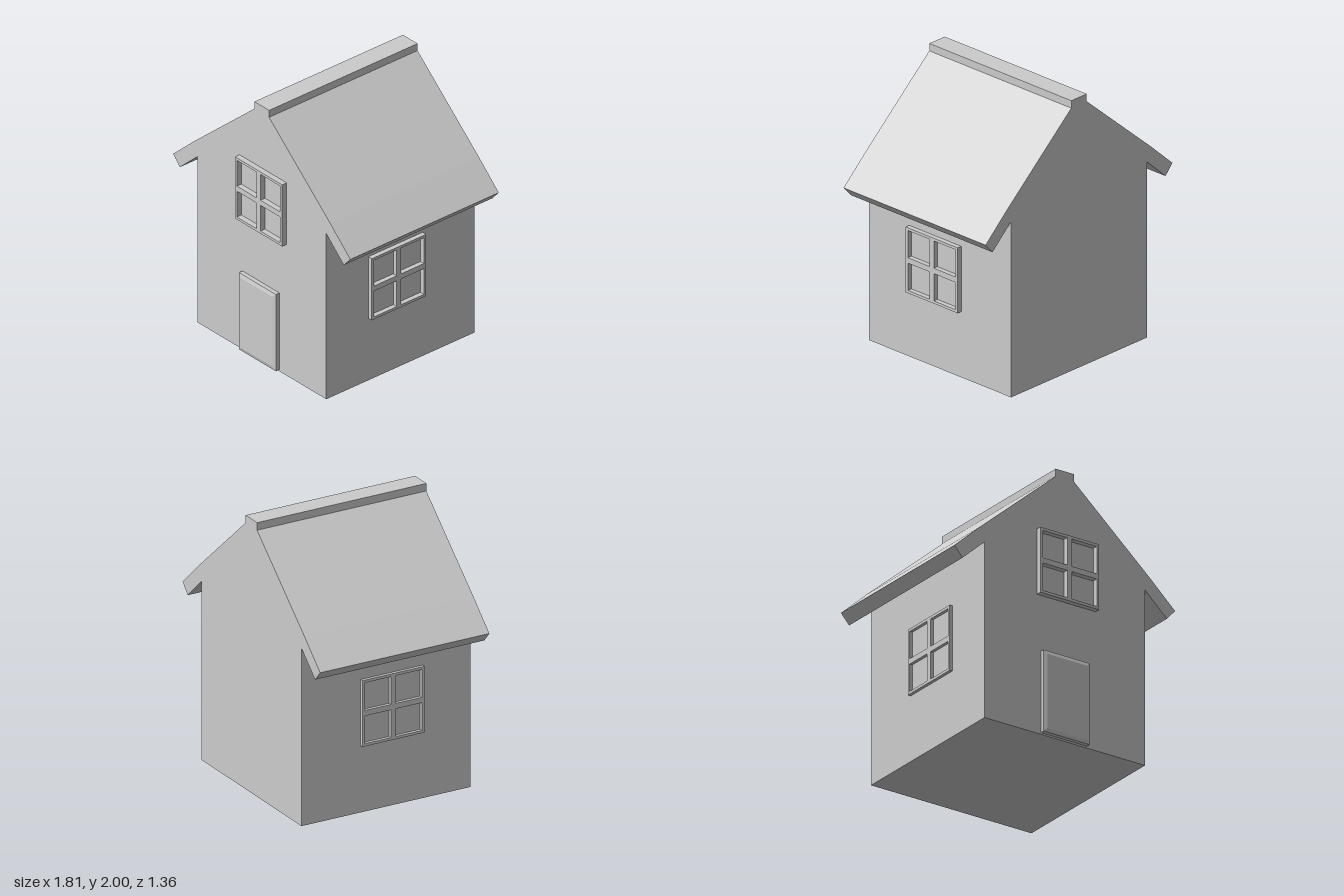
import * as THREE from 'three';

const FRONT = 0.64, BACK = -0.68, WALL = 0.66;

function rectPoints(x0, x1, y0, y1) {
  return [[x0, y0], [x1, y0], [x1, y1], [x0, y1]].map(([x, y]) => new THREE.Vector2(x, y));
}

export function createModel() {
  const house = new THREE.Group();
  house.name = 'house';
  const material = new THREE.MeshStandardMaterial({ color: 0xcccccc, flatShading: true });

  const add = (geometry, name) => {
    const mesh = new THREE.Mesh(geometry, material);
    mesh.name = name;
    house.add(mesh);
    return mesh;
  };
  const extrude = (shape, depth) => new THREE.ExtrudeGeometry(shape, { depth, bevelEnabled: false });

  // Walls, sloping roof with eaves and ridge cap share one gable outline
  const half = [[WALL, 0], [WALL, 1.3], [0.84, 1.135], [0.907, 1.21], [0.7, 1.4], [0.075, 1.945], [0.075, 2]];
  const mirrored = half.map(([x, y]) => [-x, y]).reverse();
  const outline = [...half, ...mirrored].map(([x, y]) => new THREE.Vector2(x, y));
  add(extrude(new THREE.Shape(outline), FRONT - BACK), 'houseBody').position.z = BACK;

  // Four-pane window frame, centred on its own origin, back at z = 0
  const makeWindow = (name, depth) => {
    const outer = 0.242, edge = 0.222, bar = 0.02;
    const shape = new THREE.Shape(rectPoints(-outer, outer, -outer, outer));
    for (const [x0, x1] of [[-edge, -bar], [bar, edge]]) {
      for (const [y0, y1] of [[-edge, -bar], [bar, edge]]) {
        shape.holes.push(new THREE.Path(rectPoints(x0, x1, y0, y1)));
      }
    }
    return add(extrude(shape, depth), name);
  };
  makeWindow('frontWindow', 0.04).position.set(0.013, 1.271, FRONT);
  const leftWindow = makeWindow('leftWindow', 0.035);
  leftWindow.position.set(WALL, 0.728, 0.024);
  leftWindow.rotation.y = Math.PI / 2;
  const rightWindow = makeWindow('rightWindow', 0.023);
  rightWindow.position.set(-WALL, 0.728, 0.024);
  rightWindow.rotation.y = -Math.PI / 2;

  // Door slab with a shallow bevel around its raised panel
  const bevel = 0.027;
  const panel = new THREE.Shape(rectPoints(-0.197 + bevel, 0.181 - bevel, 0.013 + bevel, 0.615 - bevel));
  const door = new THREE.ExtrudeGeometry(panel, {
    depth: 0.032, bevelEnabled: true, bevelSegments: 1, bevelSize: bevel, bevelThickness: 0.008,
  });
  add(door, 'door').position.z = FRONT;

  return house;
}
